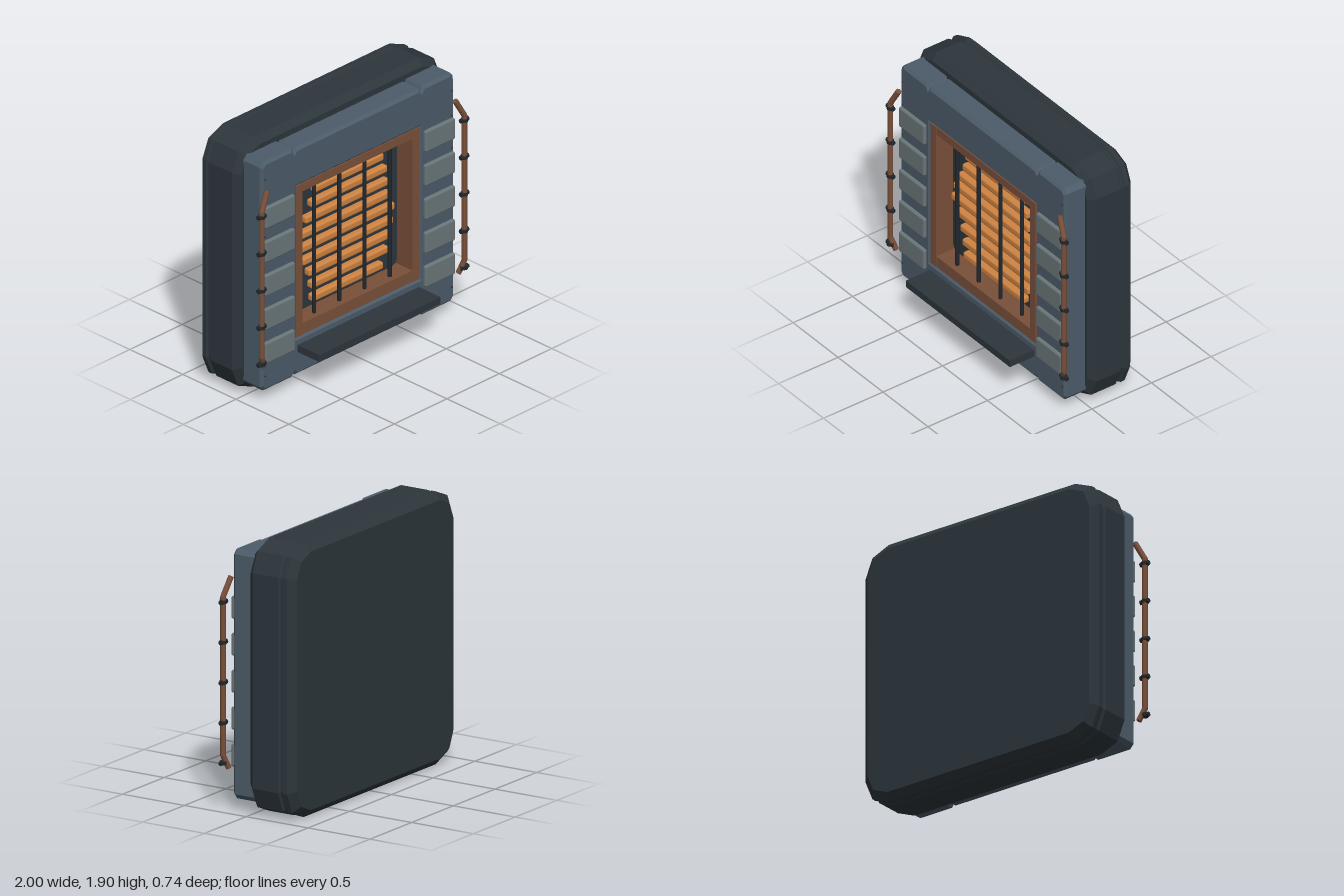
import * as THREE from 'three';
import { RoundedBoxGeometry } from 'three/addons/geometries/RoundedBoxGeometry.js';

const mat = (name, color) => {
  const m = new THREE.MeshStandardMaterial({ color });
  m.name = name;
  return m;
};

// Rounded rectangle outline, counter-clockwise, two facets per corner
function roundedRect(hw, hh, r) {
  const pts = [];
  [[1, 1], [-1, 1], [-1, -1], [1, -1]].forEach(([sx, sy], q) => {
    for (let k = 0; k <= 2; k++) {
      const a = (q + k / 2) * Math.PI / 2;
      pts.push([sx * (hw - r) + r * Math.cos(a), sy * (hh - r) + r * Math.sin(a)]);
    }
  });
  return pts;
}

// Faceted slab lofted from [z, inset] sections
function slab(hw, hh, r, sections) {
  const loops = sections.map(([z, d]) => roundedRect(hw - d, hh - d, r - d * 0.6).map(([x, y]) => [x, y, z]));
  const pos = [];
  const n = loops[0].length;
  const last = loops.length - 1;
  for (let j = 0; j < n; j++) {
    const k = (j + 1) % n;
    for (let i = 0; i < last; i++) {
      const a = loops[i][j], b = loops[i][k], c = loops[i + 1][k], d = loops[i + 1][j];
      pos.push(...a, ...b, ...c, ...a, ...c, ...d);
    }
    pos.push(0, 0, sections[0][0], ...loops[0][k], ...loops[0][j]);
    pos.push(0, 0, sections[last][0], ...loops[last][j], ...loops[last][k]);
  }
  const g = new THREE.BufferGeometry();
  g.setAttribute('position', new THREE.Float32BufferAttribute(pos, 3));
  g.computeVertexNormals();
  return g;
}

export function createModel() {
  const group = new THREE.Group();
  const iron = mat('darkIron', 0x2d363c);
  const steel = mat('blueSteel', 0x4c5c69);
  const copper = mat('copper', 0x7a503a);
  const glow = mat('glowingOrange', 0xd08442);
  const stone = mat('greyPad', 0x6b777a);
  const black = mat('blackIron', 0x22282d);

  const add = (name, geometry, material, x = 0, y = 0, z = 0) => {
    const m = new THREE.Mesh(geometry, material);
    m.name = name;
    m.position.set(x, y, z);
    group.add(m);
    return m;
  };
  const box = (name, material, x0, x1, y0, y1, z0, z1) =>
    add(name, new THREE.BoxGeometry(x1 - x0, y1 - y0, z1 - z0), material, (x0 + x1) / 2, (y0 + y1) / 2, (z0 + z1) / 2);
  const rod = (name, material, a, b, r) => {
    const p = new THREE.Vector3(...a), q = new THREE.Vector3(...b);
    const m = add(name, new THREE.CylinderGeometry(r, r, p.distanceTo(q), 8), material);
    m.position.copy(p).add(q).multiplyScalar(0.5);
    m.quaternion.setFromUnitVectors(new THREE.Vector3(0, 1, 0), q.sub(p).normalize());
  };

  // Rear housing with bevelled rims and a groove
  add('rearHousing', slab(0.99, 0.95, 0.2, [
    [-0.37, 0.05], [-0.325, 0], [-0.292, 0], [-0.28, 0.015],
    [-0.262, 0.015], [-0.25, 0], [-0.045, 0], [0, 0.045]]), iron, 0, 0.95, 0);

  // Front panel, notched at the seams, with a square opening
  const half = [[0.92, 1.785], [0.89, 1.82], [0.62, 1.82], [0.605, 1.79], [0.59, 1.812]];
  const flip = ([x, y]) => [x, 1.9 - y];
  const mirror = ([x, y]) => [-x, y];
  const right = [...half.map(flip).reverse(), ...half];
  const outline = [...right, ...right.map(mirror).reverse()];
  const panel = new THREE.Shape(outline.map(([x, y]) => new THREE.Vector2(x, y)));
  panel.holes.push(new THREE.Path(
    [[-0.585, 0.372], [-0.585, 1.52], [0.585, 1.52], [0.585, 0.372]].map(([x, y]) => new THREE.Vector2(x, y))));
  const bevel = 0.02;
  add('frontPanel', new THREE.ExtrudeGeometry(panel, {
    depth: 0.155, bevelEnabled: true, bevelSegments: 1,
    bevelSize: bevel, bevelThickness: bevel, bevelOffset: -bevel,
  }), steel, 0, 0, -0.01);

  // Copper frame lining the opening
  for (const s of [-1, 1]) {
    box('frameSide', copper, s * 0.555 - 0.031, s * 0.555 + 0.031, 0.37, 1.522, -0.01, 0.16);
  }
  box('frameTop', copper, -0.525, 0.525, 1.46, 1.521, -0.01, 0.157);
  box('frameBottom', copper, -0.525, 0.525, 0.371, 0.456, -0.01, 0.157);

  // Recessed back plate
  add('backPlate', slab(0.522, 0.502, 0.05, [[0, 0], [0.015, 0], [0.02, 0.005]]), iron, 0, 0.958, 0);

  // Glowing slats: [left end, right end], top to bottom
  const slats = [[-0.32, 0.34], [-0.35, 0.375], [-0.405, 0.39], [-0.45, 0.41], [-0.475, 0.445],
    [-0.43, 0.43], [-0.375, 0.415], [-0.35, 0.385], [-0.34, 0.335]];
  slats.forEach(([a, b], i) =>
    add('glowingSlat', new RoundedBoxGeometry(b - a, 0.056, 0.056, 2, 0.016), glow, (a + b) / 2, 1.362 - i * 0.103, 0.048));

  // Grille bars
  for (const x of [-0.36, -0.12, 0.12, 0.36]) {
    rod('grilleBar', black, [x, 0.45, 0.105], [x, 1.465, 0.105], 0.014);
  }

  // Shelf under the opening
  box('shelf', iron, -0.58, 0.577, 0.263, 0.315, 0.15, 0.37);

  for (const s of [-1, 1]) {
    // Raised pads and pipe clips
    for (let i = 0; i < 5; i++) {
      add('sidePad', new RoundedBoxGeometry(0.285, 0.16, 0.06, 1, 0.014), stone, s * 0.762, 1.405 - i * 0.257, 0.16);
      const y = 1.455 - i * 0.28;
      rod('pipeClip', black, [s * 0.93, y, 0.208], [s * 1.0, y, 0.208], 0.017);
      rod('clipCollar', black, [s * 0.965, y - 0.012, 0.21], [s * 0.965, y + 0.012, 0.21], 0.026);
    }
    // Copper pipe with bent ends
    const path = [[0.895, 1.62, 0.192], [0.965, 1.49, 0.21], [0.965, 0.385, 0.21], [0.93, 0.295, 0.188]]
      .map(([x, y, z]) => [s * x, y, z]);
    for (let i = 0; i < 3; i++) rod('sidePipe', copper, path[i], path[i + 1], 0.02);
    for (const p of path.slice(1, 3)) add('pipeElbow', new THREE.SphereGeometry(0.02, 8, 6), copper, ...p);
    // Small rivets along the panel edge
    for (const y of [1.69, 1.5, 1.255, 0.645, 0.195]) {
      add('rivet', new THREE.SphereGeometry(0.006, 6, 4), black, s * 0.89, y, 0.167);
    }
  }
  return group;
}
